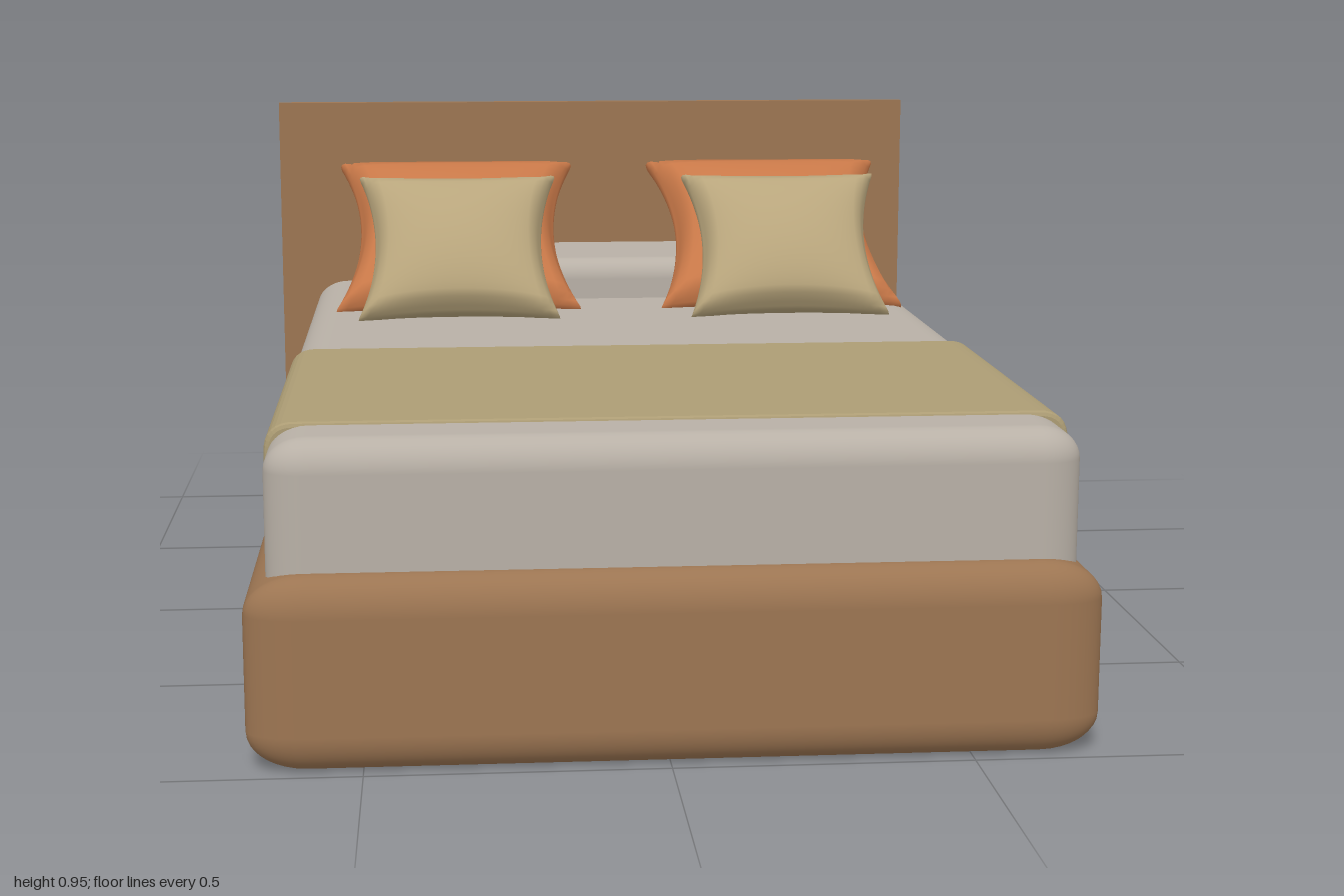
import * as THREE from 'three';
import { RoundedBoxGeometry } from 'three/addons/geometries/RoundedBoxGeometry.js';
import { mergeVertices } from 'three/addons/utils/BufferGeometryUtils.js';

const paint = (color) => new THREE.MeshStandardMaterial({ color });
const wood = paint(0x9c7552);
const linen = paint(0xb8b0a6);
const throwCloth = paint(0xac9c74);
const sand = paint(0xb8a57c);
const orange = paint(0xc87848);

function addMesh(parent, name, geometry, material) {
  const mesh = new THREE.Mesh(geometry, material);
  mesh.name = name;
  parent.add(mesh);
  return mesh;
}

// Rounded box given by its min and max corners, with a separate radius per axis
function softBox(min, max, radius) {
  const size = max.map((v, i) => v - min[i]);
  const geometry = new RoundedBoxGeometry(...size.map((s, i) => s / radius[i]), 5, 1);
  geometry.scale(...radius);
  geometry.translate(...min.map((v, i) => (v + max[i]) / 2));
  return geometry;
}

// Stuffed cushion: a plump box with pinched sides and a thin rim
function cushionGeometry(width, height, depth, pinch) {
  const rim = 0.02;
  const box = new THREE.BoxGeometry(2, 2, 2, 24, 24, 4);
  box.deleteAttribute('normal');
  box.deleteAttribute('uv');
  const geometry = mergeVertices(box);
  const p = geometry.attributes.position;
  for (let i = 0; i < p.count; i++) {
    const u = p.getX(i), v = p.getY(i), w = p.getZ(i);
    const fu = Math.max(0, 1 - u * u), fv = Math.max(0, 1 - v * v);
    const puff = Math.pow(fu * fv, 0.5);
    const onRim = Math.max(Math.abs(u), Math.abs(v)) > 0.999;
    const round = onRim ? 1 - 0.04 * w * w : 1;
    p.setXYZ(i,
      u * (width / 2 - pinch * fv) * round,
      v * (height / 2 - pinch * 0.5 * fu) * round,
      w * (rim + (depth / 2 - rim) * puff));
  }
  geometry.computeVertexNormals();
  return geometry;
}

// Strip of cloth draped over the mattress, rounded along both long edges
function throwGeometry(x0, x1, y0, y1, z0, z1) {
  const r = 0.05, b = 0.008;
  const s = new THREE.Shape();
  s.moveTo(x0 + b, y0);
  s.lineTo(x1 - b, y0);
  s.lineTo(x1 - b, y1 - r);
  s.quadraticCurveTo(x1 - b, y1 - b, x1 - r, y1 - b);
  s.lineTo(x0 + r, y1 - b);
  s.quadraticCurveTo(x0 + b, y1 - b, x0 + b, y1 - r);
  s.closePath();
  const geometry = new THREE.ExtrudeGeometry(s, {
    depth: z1 - z0 - 2 * b, bevelThickness: b, bevelSize: b, bevelSegments: 2, curveSegments: 8,
  });
  geometry.translate(0, 0, z0 + b);
  return geometry;
}

export function createModel() {
  const bed = new THREE.Group();
  bed.name = 'bed';

  // Frame
  addMesh(bed, 'base', softBox([-0.69, 0, -1], [0.715, 0.325, 1], [0.1, 0.065, 0.05]), wood);
  const headboard = addMesh(bed, 'headboard', new THREE.BoxGeometry(1.475, 0.92, 0.032), wood);
  headboard.position.set(-0.002, 0.495, -0.96);

  // Bedding
  addMesh(bed, 'mattress', softBox([-0.655, 0.2, -0.945], [0.683, 0.54, 0.95], [0.07, 0.055, 0.05]), linen);
  addMesh(bed, 'throw', throwGeometry(-0.66, 0.688, 0.25, 0.545, 0.085, 0.815), throwCloth);
  addMesh(bed, 'longPillow', softBox([-0.5, 0.48, -0.925], [0.52, 0.628, -0.57], [0.07, 0.045, 0.04]), linen);

  // Two stacks of leaning cushions, mirrored about the middle of the mattress
  const large = cushionGeometry(0.53, 0.485, 0.2, 0.05);
  const small = cushionGeometry(0.425, 0.36, 0.17, 0.035);
  for (const side of [-1, 1]) {
    const stack = new THREE.Group();
    stack.name = side < 0 ? 'rightCushions' : 'leftCushions';
    stack.position.x = 0.025 + side * 0.352;
    bed.add(stack);

    const back = addMesh(stack, 'largeCushion', large, orange);
    back.position.set(0, 0.676, -0.612);
    back.rotation.x = THREE.MathUtils.degToRad(-55);

    const front = addMesh(stack, 'smallCushion', small, sand);
    front.position.set(0, 0.678, -0.398);
    front.rotation.x = THREE.MathUtils.degToRad(-40);
  }
  return bed;
}
